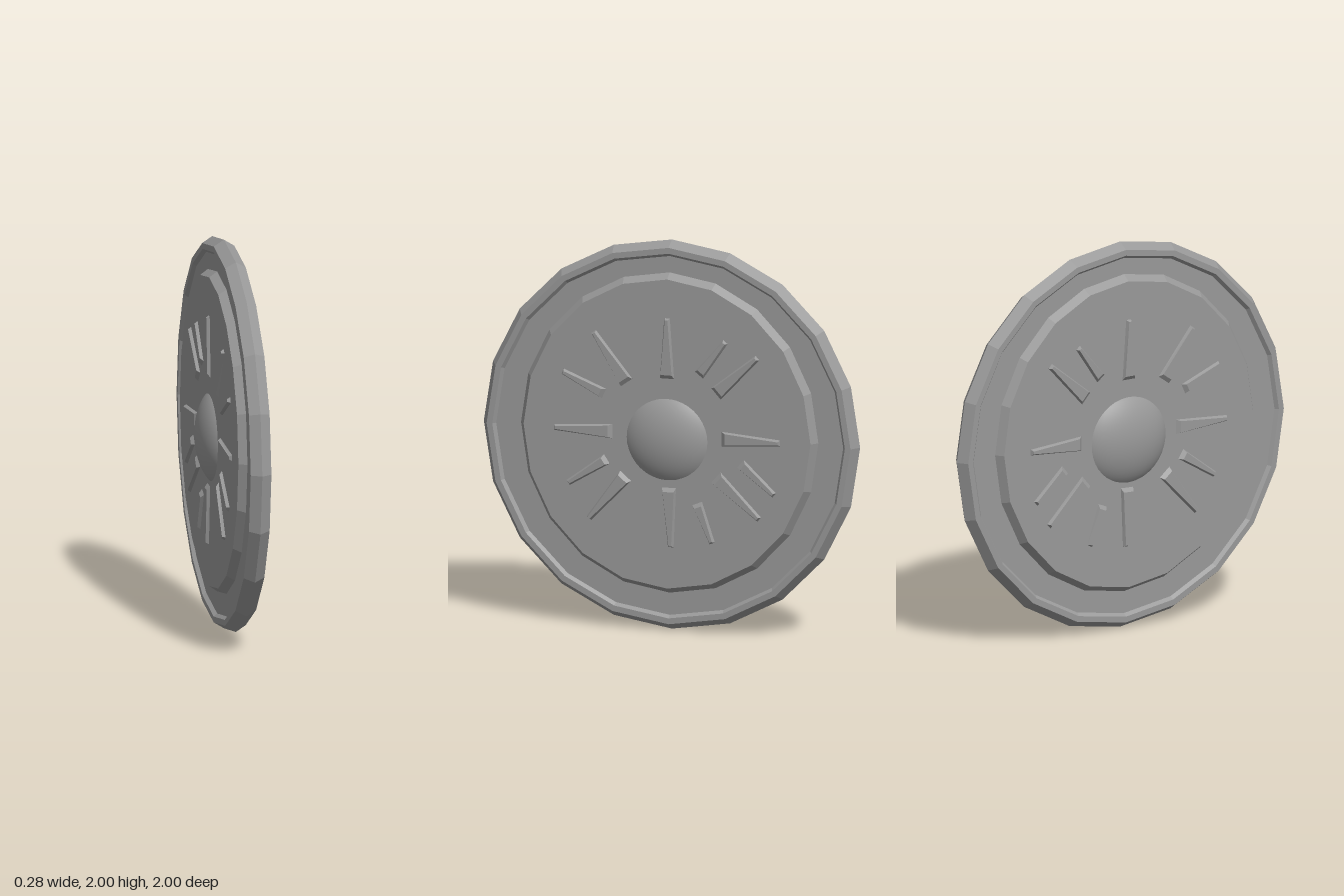
import * as THREE from 'three';

// Give every face its own normal
function faceted(geometry) {
  const g = geometry.toNonIndexed();
  g.computeVertexNormals();
  return g;
}

// Turned solid around the x axis, from a half profile [radius, x] on the +x side
function turned(half, sides) {
  const full = [...half.map(([r, x]) => [r, -x]), ...half.slice().reverse()];
  const points = full.map(([r, x]) => new THREE.Vector2(r, x));
  return faceted(new THREE.LatheGeometry(points, sides).rotateZ(-Math.PI / 2));
}

// Tapered bar through the disc, wide at its foot, with bevelled faces on both sides
function rayGeometry(length, footWidth, tipWidth) {
  const g = new THREE.BoxGeometry(1, 1, 1, 3, 1, 1);
  const p = g.attributes.position;
  for (let i = 0; i < p.count; i++) {
    const foot = p.getY(i) < 0;
    const face = Math.abs(p.getX(i)) > 0.4;
    const width = (foot ? footWidth : tipWidth) - (face ? 0.016 : 0);
    const inset = face ? (foot ? 0.02 : 0.008) : 0;
    p.setXYZ(
      i,
      Math.sign(p.getX(i)) * (face ? 0.092 : 0.076),
      foot ? inset : length - inset,
      Math.sign(p.getZ(i)) * width / 2
    );
  }
  return faceted(g);
}

// Each ray: foot z, foot y, tip z, tip y, foot width
const RAYS = [
  [0, 1.30, 0, 1.61, 0.075],
  [-0.17, 1.33, -0.31, 1.51, 0.055],
  [-0.26, 1.24, -0.48, 1.44, 0.075],
  [-0.29, 1.01, -0.60, 1.01, 0.075],
  [-0.39, 0.89, -0.57, 0.74, 0.055],
  [-0.26, 0.81, -0.49, 0.61, 0.075],
  [-0.01, 0.74, -0.02, 0.435, 0.075],
  [-0.16, 0.67, -0.24, 0.47, 0.055],
  [0.22, 0.785, 0.415, 0.555, 0.075],
  [0.32, 0.865, 0.525, 0.73, 0.055],
  [0.29, 1.01, 0.60, 1.01, 0.075],
  [0.335, 1.20, 0.555, 1.30, 0.055],
  [0.215, 1.265, 0.39, 1.515, 0.075]
];

export function createModel() {
  const model = new THREE.Group();
  model.name = 'roundDisc';
  const grey = new THREE.MeshStandardMaterial({ color: 0x999999 });
  grey.name = 'stone grey';

  const add = (name, geometry, y, z = 0) => {
    const mesh = new THREE.Mesh(geometry, grey);
    mesh.name = name;
    mesh.position.set(0, y, z);
    model.add(mesh);
    return mesh;
  };

  // Outer disc with a pointed edge and a raised lip
  add('rim', turned([[0, 0.035], [0.922, 0.035], [0.937, 0.053], [0.967, 0.053], [1, 0]], 20), 1);

  // Raised, slightly oval centre panel with a sloped border
  const panel = turned([[0, 0.076], [0.965, 0.076], [1, 0.035]], 20);
  panel.scale(1, 0.823, 0.79);
  add('centrePanel', faceted(panel), 1.015);

  // Smooth domed boss on both sides
  const boss = new THREE.SphereGeometry(1, 40, 24).scale(0.138, 0.258, 0.265);
  add('boss', boss, 0.987).position.x = -0.005;

  // Rays around the boss
  for (const [z0, y0, z1, y1, width] of RAYS) {
    const length = Math.hypot(z1 - z0, y1 - y0);
    const ray = add('ray', rayGeometry(length, width, 0.03), y0, z0);
    ray.rotation.x = Math.atan2(z1 - z0, y1 - y0);
  }
  return model;
}
